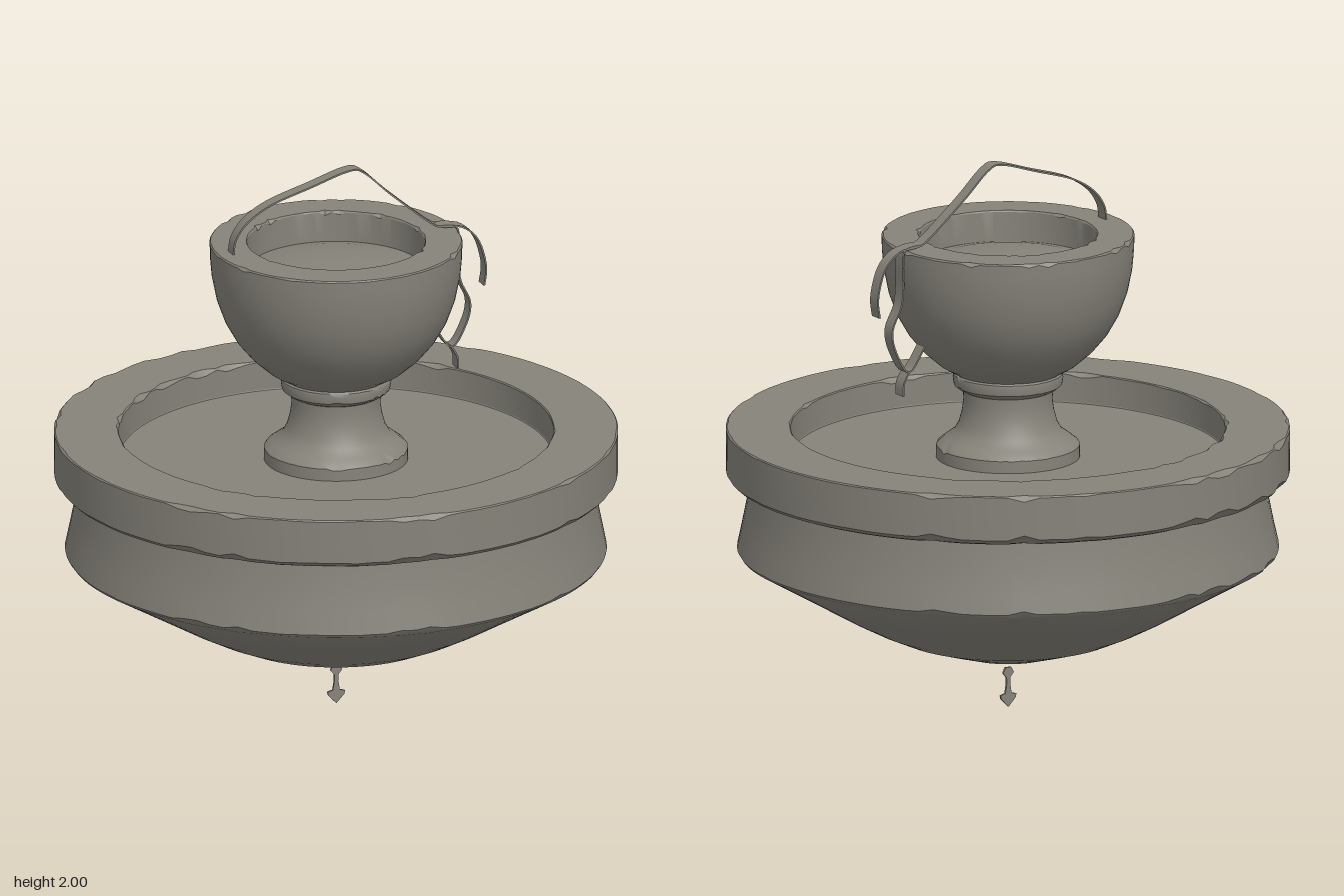
import * as THREE from 'three';
import { toCreasedNormals } from 'three/addons/utils/BufferGeometryUtils.js';

const stone = new THREE.MeshStandardMaterial({ color: 0x86837a });
stone.name = 'weathered stone';

// Seeded random numbers for the chipped edges
let seed = 7;
function random() {
  seed = (seed * 16807) % 2147483647;
  return seed / 2147483647;
}

// Smooth normals with sharp edges; scaled up so that close points stay apart
function crease(geometry, angle = 0.5) {
  geometry.scale(100, 100, 100);
  const result = toCreasedNormals(geometry, angle);
  return result.scale(0.01, 0.01, 0.01);
}

// Turned stone. Each profile row is [radius, height, radial chip, vertical chip]
function turned(name, rows, segments = 112) {
  const geometry = new THREE.LatheGeometry(rows.map(([r, y]) => new THREE.Vector2(r, y)), segments);
  const pos = geometry.attributes.position;
  const n = rows.length;
  for (let i = 0; i < segments; i++) {
    const chip = random() < 0.3 ? random() : random() * 0.15;
    rows.forEach(([r, y, dr = 0, dy = 0], j) => {
      const k = i * n + j;
      const s = r > 0 ? (r + dr * chip) / r : 1;
      pos.setXYZ(k, pos.getX(k) * s, y + dy * chip, pos.getZ(k) * s);
      if (i === 0) {
        const end = segments * n + j;
        pos.setXYZ(end, pos.getX(k), pos.getY(k), pos.getZ(k));
      }
    });
  }
  const mesh = new THREE.Mesh(crease(geometry), stone);
  mesh.name = name;
  return mesh;
}

// Thin strap following a curve in the x-y plane
function ribbon(name, points, steps) {
  const curve = new THREE.SplineCurve(points.map(([x, y]) => new THREE.Vector2(x, y)));
  const left = [], right = [];
  for (let i = 0; i <= steps; i++) {
    const p = curve.getPoint(i / steps);
    const t = curve.getTangent(i / steps);
    const normal = new THREE.Vector2(-t.y, t.x).multiplyScalar(0.003);
    left.push(p.clone().add(normal));
    right.unshift(p.clone().sub(normal));
  }
  const geometry = new THREE.ExtrudeGeometry(new THREE.Shape([...left, ...right]), { depth: 0.05, bevelEnabled: false });
  geometry.translate(0, 0, -0.028);
  const mesh = new THREE.Mesh(crease(geometry), stone);
  mesh.name = name;
  return mesh;
}

export function createModel() {
  const model = new THREE.Group();
  model.name = 'fountain';

  // Pointed underside, flared drum, heavy rim and basin floor
  model.add(turned('basin', [
    [0, 0.16], [0.17, 0.2], [0.3, 0.24], [0.4, 0.272], [0.5, 0.317], [0.6, 0.37], [0.75, 0.458],
    [0.955, 0.577, -0.015, -0.009], [0.96, 0.585, 0, 0.015],
    [0.945, 0.66], [0.927, 0.75], [0.917, 0.845],
    [0.965, 0.847, -0.02, 0], [0.985, 0.855, -0.01, 0], [0.999, 0.868, 0, 0.02],
    [1, 1.027, 0, -0.018], [0.997, 1.03, -0.018, 0],
    [0.772, 1.03, 0.018, 0], [0.77, 1.027, 0, -0.018],
    [0.77, 0.923], [0.768, 0.92], [0, 0.92]
  ]));

  // Spreading foot, waist and collar
  model.add(turned('pedestal', [
    [0.255, 0.915], [0.255, 0.965, 0, -0.012], [0.25, 0.972, -0.012, 0],
    [0.225, 0.99], [0.192, 1.015], [0.175, 1.045], [0.163, 1.09], [0.158, 1.13], [0.16, 1.165],
    [0.175, 1.172, -0.008, 0], [0.192, 1.185, 0, 0.008], [0.196, 1.21], [0.194, 1.225, 0, -0.008],
    [0.186, 1.232], [0, 1.232]
  ], 64));

  // Round cup with a thick lip and a softly domed floor
  model.add(turned('upperBowl', [
    [0, 1.228], [0.185, 1.228], [0.245, 1.263], [0.305, 1.315], [0.355, 1.375], [0.395, 1.445],
    [0.424, 1.525], [0.441, 1.61], [0.447, 1.68], [0.448, 1.731, 0, -0.014], [0.445, 1.735, -0.014, 0],
    [0.317, 1.735, 0.014, 0], [0.315, 1.731, 0, -0.014], [0.315, 1.622],
    [0.25, 1.637], [0.17, 1.649], [0.085, 1.656], [0, 1.658]
  ], 80));

  // Strap over the cup with its loose ends
  model.add(ribbon('strap', [
    [-0.395, 1.735], [-0.385, 1.79], [-0.34, 1.85], [-0.25, 1.905], [-0.1, 1.953], [0.04, 1.996],
    [0.1, 1.982], [0.2, 1.89], [0.35, 1.765], [0.4, 1.744], [0.47, 1.735], [0.53, 1.68],
    [0.56, 1.58], [0.553, 1.505]
  ], 60));
  model.add(ribbon('hangingStrap', [
    [0.38, 1.748], [0.445, 1.74], [0.457, 1.69], [0.455, 1.6], [0.465, 1.53], [0.5, 1.45],
    [0.485, 1.37], [0.43, 1.29], [0.365, 1.375]
  ], 40));
  model.add(ribbon('strapTip', [[0.43, 1.29], [0.452, 1.25], [0.455, 1.205]], 10));

  // Small flat pendant below the point, mirrored from its right half
  const half = [[0.012, 0.145], [0.022, 0.125], [0.008, 0.108], [0.007, 0.085], [0.013, 0.05], [0.033, 0.045], [0.03, 0.032]];
  const outline = [...half, [0, 0], ...half.map(([x, y]) => [-x, y]).reverse()];
  const shape = new THREE.Shape(outline.map(([x, y]) => new THREE.Vector2(x, y)));
  const pendant = new THREE.Mesh(
    new THREE.ExtrudeGeometry(shape, { depth: 0.008, bevelEnabled: false }).translate(0, 0, -0.004), stone);
  pendant.name = 'pendant';
  model.add(pendant);

  return model;
}
